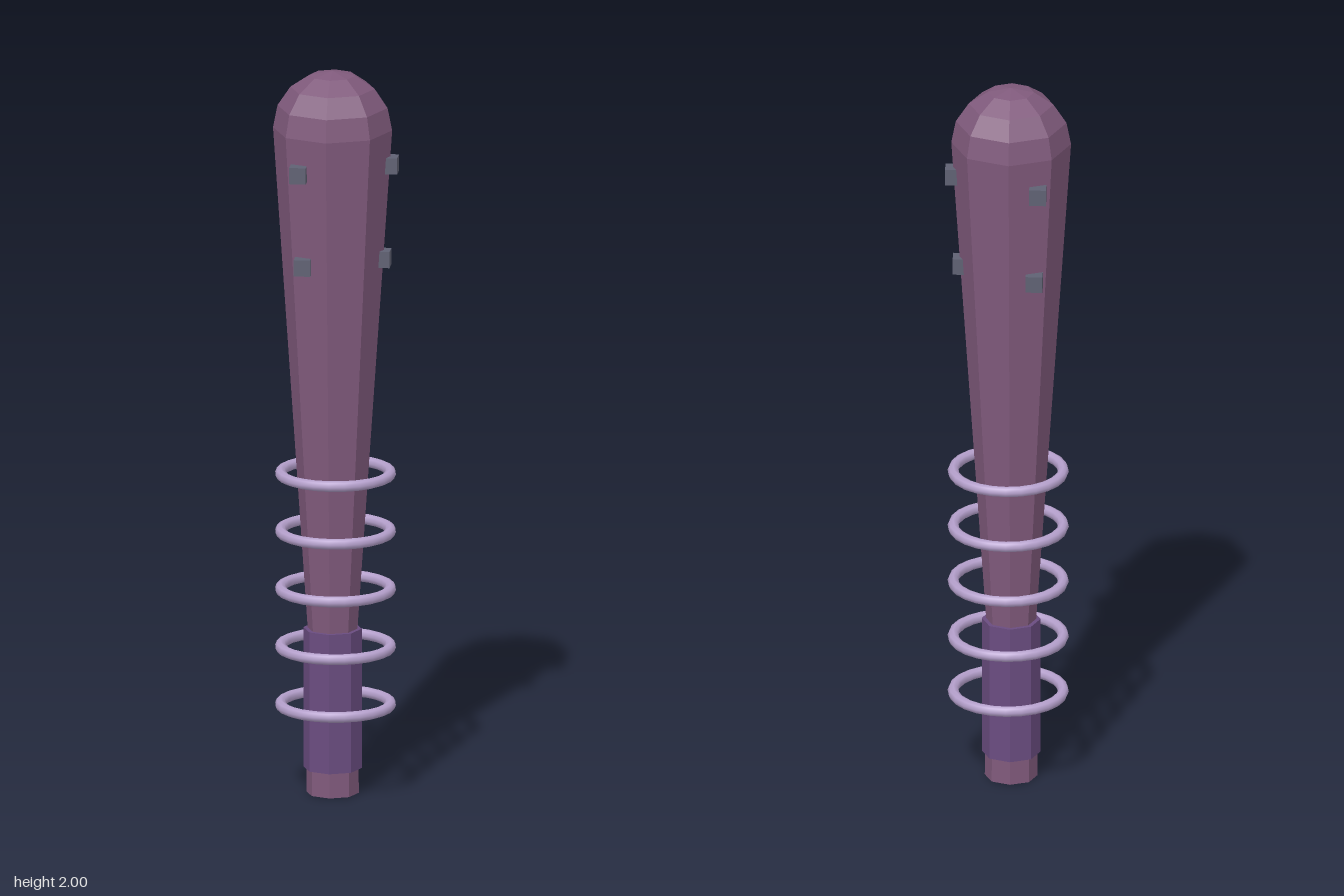
import * as THREE from 'three';

export function createModel() {
  const model = new THREE.Group();
  model.name = 'club';
  const material = (name, color, flat = true) => {
    const m = new THREE.MeshStandardMaterial({ color, flatShading: flat });
    m.name = name;
    return m;
  };
  const wood = material('plum wood', 0x805a7c);
  const cloth = material('purple grip', 0x6a4c80);
  const metal = material('lilac metal', 0xb5a0cc, false);
  const iron = material('grey iron', 0x5f6173);

  const add = (name, geometry, mat, x, y, z) => {
    const mesh = new THREE.Mesh(geometry, mat);
    mesh.name = name;
    mesh.position.set(x, y, z);
    model.add(mesh);
    return mesh;
  };

  const axisX = -0.009; // the shaft sits slightly off the centre of the rings
  const headR = 0.161, headY = 1.839;

  // Eight-sided shaft: straight handle, long taper and domed head
  const profile = [[0, 0], [0.071, 0], [0.067, 0.45], [headR, headY]];
  for (let i = 1; i <= 4; i++) {
    const a = (i * Math.PI) / 8;
    profile.push([i === 4 ? 0 : headR * Math.cos(a), headY + headR * Math.sin(a)]);
  }
  const points = profile.map(([r, y]) => new THREE.Vector2(r, y));
  add('shaft', new THREE.LatheGeometry(points, 8), wood, axisX, 0, 0);

  // Grip wrapped around the handle
  add('grip', new THREE.CylinderGeometry(0.079, 0.079, 0.386, 8), cloth, axisX, 0.262, 0);

  // Five loose rings
  const ringGeometry = new THREE.TorusGeometry(0.148, 0.015, 8, 24).rotateX(Math.PI / 2);
  for (let i = 0; i < 5; i++) add('ring', ringGeometry, metal, -0.001, 0.245 + i * 0.16, 0);

  // Two rows of three square studs
  const studGeometry = new THREE.BoxGeometry(0.045, 0.045, 0.045);
  for (const [y, r] of [[1.485, 0.134], [1.745, 0.1545]]) {
    for (let i = 0; i < 3; i++) {
      const a = (i * Math.PI * 2) / 3;
      add('stud', studGeometry, iron, axisX + r * Math.cos(a), y, r * Math.sin(a));
    }
  }
  return model;
}
